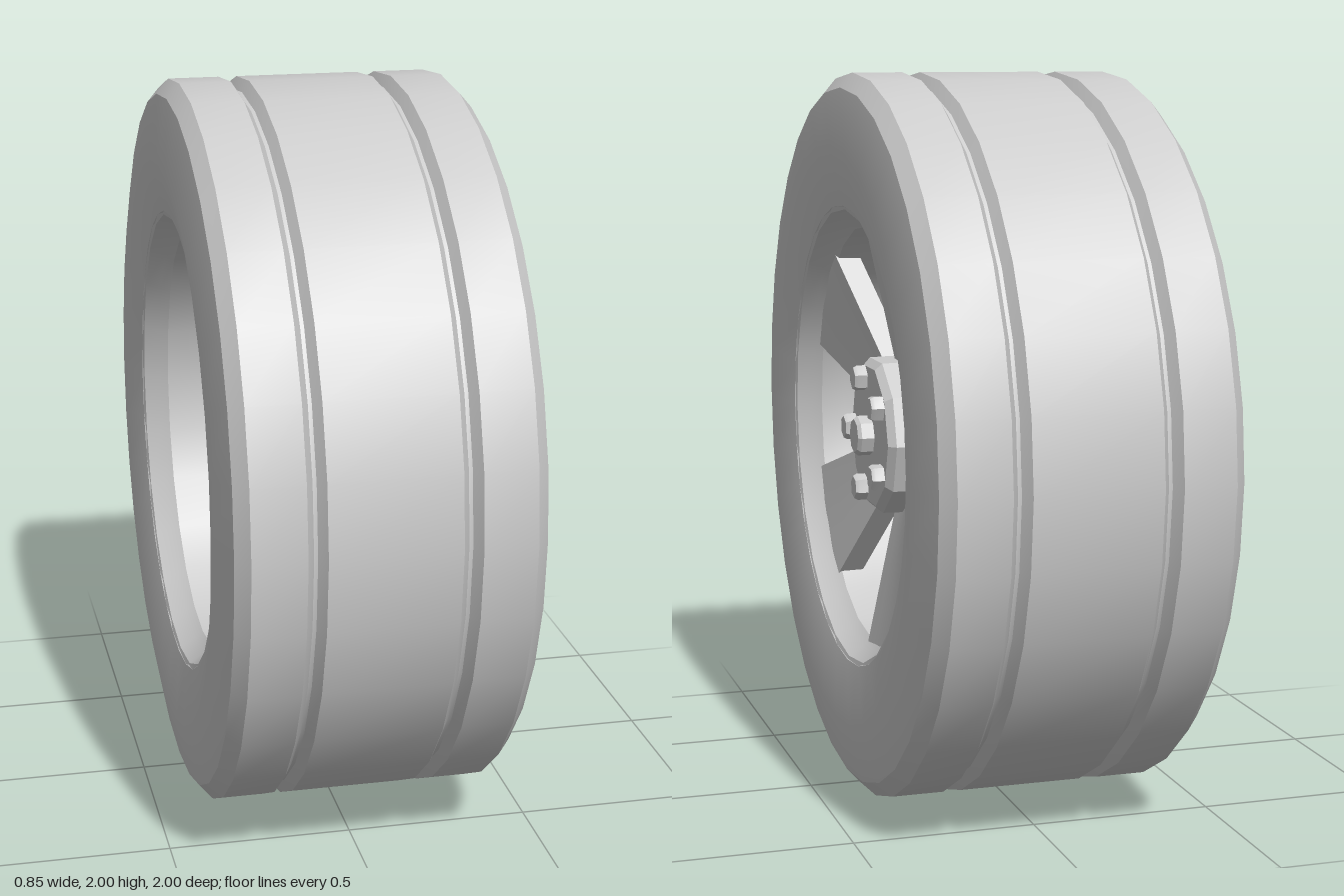
import * as THREE from 'three';
import { toCreasedNormals } from 'three/addons/utils/BufferGeometryUtils.js';

const material = new THREE.MeshStandardMaterial({ color: 0xcccccc });

function addMesh(parent, name, geometry, crease = 0.5) {
  const mesh = new THREE.Mesh(toCreasedNormals(geometry, crease), material);
  mesh.name = name;
  parent.add(mesh);
  return mesh;
}

// Turns a profile of [x, radius] points around the x axis (the axle)
function turned(profile, sides) {
  const points = profile.map(([x, r]) => new THREE.Vector2(r, x));
  return new THREE.LatheGeometry(points, sides).rotateZ(-Math.PI / 2);
}

// Hexagonal bolt head pointing to +x
const bolt = (r, x0, x1, sides = 6) =>
  turned([[x0, r], [x1 - 0.01, r], [x1, r * 0.85], [x1, 0]], sides);

// Wedge spoke along +y: narrow and set back at the hub, wide and forward at the rim
function spokeGeometry() {
  const g = new THREE.BoxGeometry(1, 1, 1, 1, 4, 4);
  const p = g.attributes.position;
  for (let i = 0; i < p.count; i++) {
    const t = p.getY(i) + 0.5;
    const r = THREE.MathUtils.lerp(0.2, 0.59, t);
    const z = 2 * p.getZ(i) * THREE.MathUtils.lerp(0.075, 0.178, t);
    const front = 0.24 + 0.09 * t;
    const x = front - (0.5 - p.getX(i)) * 0.07;
    p.setXYZ(i, x, Math.sqrt(r * r - z * z), z);
  }
  return g;
}

export function createModel() {
  const model = new THREE.Group();
  model.name = 'wheel';
  const wheel = new THREE.Group();
  wheel.name = 'wheelAssembly';
  wheel.position.y = 1;
  model.add(wheel);

  // Tyre: half profile mirrored, with a V groove on each side of the tread
  const half = [
    [0.17, 1], [0.19, 0.97], [0.2, 0.97], [0.22, 1], [0.36, 1],
    [0.395, 0.96], [0.425, 0.8], [0.39, 0.64], [0.37, 0.625],
  ];
  const tyre = [...half.map(([x, r]) => [-x, r]).reverse(), ...half];
  addMesh(wheel, 'tyre', turned(tyre, 32), 0.45);

  // Rim: inward-facing barrel with a bevelled lip at both ends
  addMesh(wheel, 'rim', turned([
    [0.39, 0.645], [0.385, 0.63], [0.345, 0.605], [0.32, 0.582], [0.25, 0.58],
    [-0.32, 0.585], [-0.345, 0.605], [-0.385, 0.63], [-0.39, 0.645],
  ], 24));

  // Brake drum with a central bore at the back and a neck towards the hub
  addMesh(wheel, 'brakeDrum', turned([
    [-0.17, 0.15], [-0.17, 0.47], [-0.13, 0.47], [-0.03, 0.27], [0.18, 0.27], [0.2, 0.25], [0.2, 0.2],
  ], 16));

  // Hub cap
  addMesh(wheel, 'hub', turned([[0.1, 0.225], [0.3, 0.22], [0.32, 0.2], [0.32, 0]], 10), 0.4);
  addMesh(wheel, 'axleNut', bolt(0.056, 0.31, 0.365, 8));

  // Five spokes with five bolts set between them
  for (let i = 0; i < 5; i++) {
    const turn = (i * Math.PI * 2) / 5;
    addMesh(wheel, 'spoke', spokeGeometry()).rotation.x = turn - Math.PI / 2;
    const stud = addMesh(wheel, 'wheelBolt', bolt(0.037, 0.31, 0.355).translate(0, 0.163, 0));
    stud.rotation.x = turn + Math.PI / 2;
  }
  return model;
}
